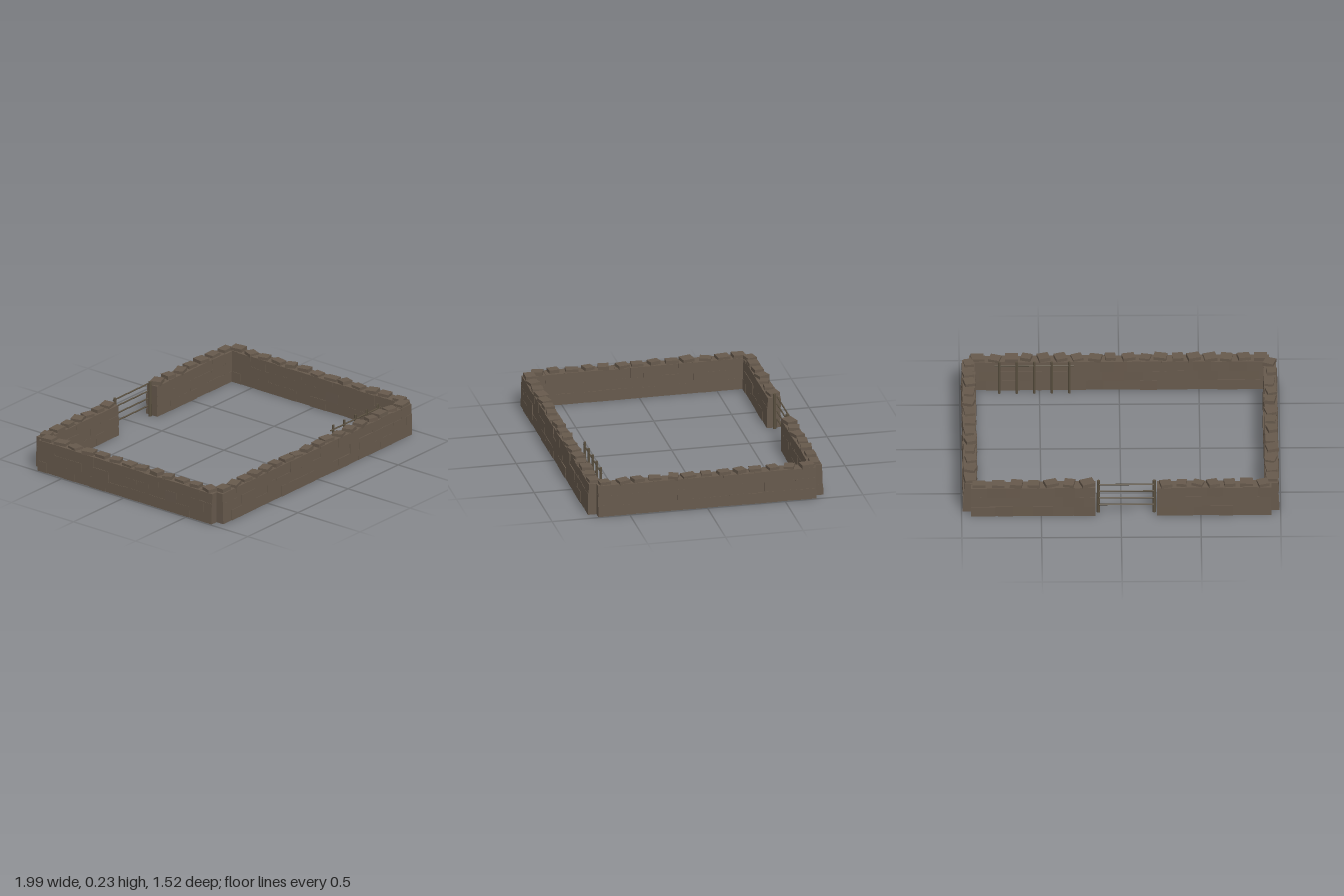
import * as THREE from 'three';

const stone = new THREE.MeshStandardMaterial({ color: 0x66594c });
stone.name = 'stone';
const wood = new THREE.MeshStandardMaterial({ color: 0x5a5040 });
wood.name = 'weathered wood';

// Small seeded random numbers
let seed = 7;
const rand = (a = 0, b = 1) => {
  seed = (seed * 16807) % 2147483647;
  return a + (b - a) * (seed / 2147483647);
};

function add(parent, name, geometry, material, x, y, z) {
  const mesh = new THREE.Mesh(geometry, material);
  mesh.name = name;
  mesh.position.set(x, y, z);
  parent.add(mesh);
  return mesh;
}

// Stone block whose faces lean inwards towards the top
function blockGeometry(w, h, d, lean) {
  const g = new THREE.BoxGeometry(w, h, d);
  const p = g.attributes.position;
  for (let i = 0; i < p.count; i++) {
    if (p.getY(i) > 0) p.setZ(i, p.getZ(i) - Math.sign(p.getZ(i)) * lean);
  }
  g.computeVertexNormals();
  return g;
}

// Dry-stone wall along local x: three staggered courses and loose capstones
function makeWall(name, length) {
  const wall = new THREE.Group();
  wall.name = name;
  const courseHeight = 0.067;
  for (let row = 0; row < 3; row++) {
    let x = -length / 2;
    let first = true;
    while (x < length / 2 - 0.001) {
      let w = rand(0.085, 0.14);
      if (first && row % 2) w *= 0.6;
      if (length / 2 - x - w < 0.05) w = length / 2 - x;
      const h = courseHeight + rand(0.001, 0.006);
      const d = 0.094 - row * 0.005 + rand(-0.006, 0.003);
      const block = add(wall, 'wallStone', blockGeometry(w + 0.001, h, d, 0.002), stone,
        x + w / 2, row * courseHeight + h / 2, rand(-0.0015, 0.0015));
      block.rotation.y = rand(-0.015, 0.015);
      x += w;
      first = false;
    }
  }
  const count = Math.round(length / 0.105);
  for (let i = 0; i < count; i++) {
    const h = rand(0.02, 0.028);
    const cap = add(wall, 'capStone', new THREE.BoxGeometry(rand(0.062, 0.085), h, rand(0.055, 0.072)), stone,
      -length / 2 + (i + 0.5) * length / count + rand(-0.008, 0.008), 0.2 + h / 2, rand(-0.005, 0.005));
    cap.rotation.set(rand(-0.04, 0.04), rand(-0.35, 0.35), rand(-0.05, 0.05));
  }
  return wall;
}

// Round rail lying along x
function addRail(parent, x0, x1, y, z, r) {
  const rail = add(parent, 'rail', new THREE.CylinderGeometry(r, r, x1 - x0, 8), wood, (x0 + x1) / 2, y, z);
  rail.rotation.z = Math.PI / 2;
}

export function createModel() {
  seed = 7;
  const model = new THREE.Group();
  model.name = 'walledEnclosure';

  // Four sides, with an opening in the back: name, centre x, centre z, length, turn
  const walls = [
    ['frontWall', 0, 0.71, 1.88, 0],
    ['leftWall', 0.945, 0, 1.4, Math.PI / 2],
    ['rightWall', -0.945, 0, 1.4, Math.PI / 2],
    ['backWallLeft', 0.55, -0.71, 0.78, 0],
    ['backWallRight', -0.583, -0.71, 0.716, 0],
  ];
  for (const [name, x, z, length, turn] of walls) {
    const wall = makeWall(name, length);
    wall.position.set(x, 0, z);
    wall.rotation.y = turn;
    model.add(wall);
  }

  // Gate closing the back opening
  const gate = new THREE.Group();
  gate.name = 'gate';
  for (const x of [-0.208, 0.142]) {
    add(gate, 'gatePost', new THREE.CylinderGeometry(0.01, 0.011, 0.235, 8), wood, x, 0.1175, -0.71);
  }
  for (const y of [0.065, 0.115, 0.165, 0.215]) addRail(gate, -0.205, 0.14, y, -0.726, 0.005);
  model.add(gate);

  // Short fence inside the front wall
  const fence = new THREE.Group();
  fence.name = 'fence';
  for (let i = 0; i < 5; i++) {
    add(fence, 'fencePost', new THREE.CylinderGeometry(0.008, 0.008, 0.235, 8), wood, 0.312 + i * 0.11, 0.1175, 0.63);
  }
  addRail(fence, 0.285, 0.782, 0.205, 0.63, 0.005);
  model.add(fence);

  return model;
}
